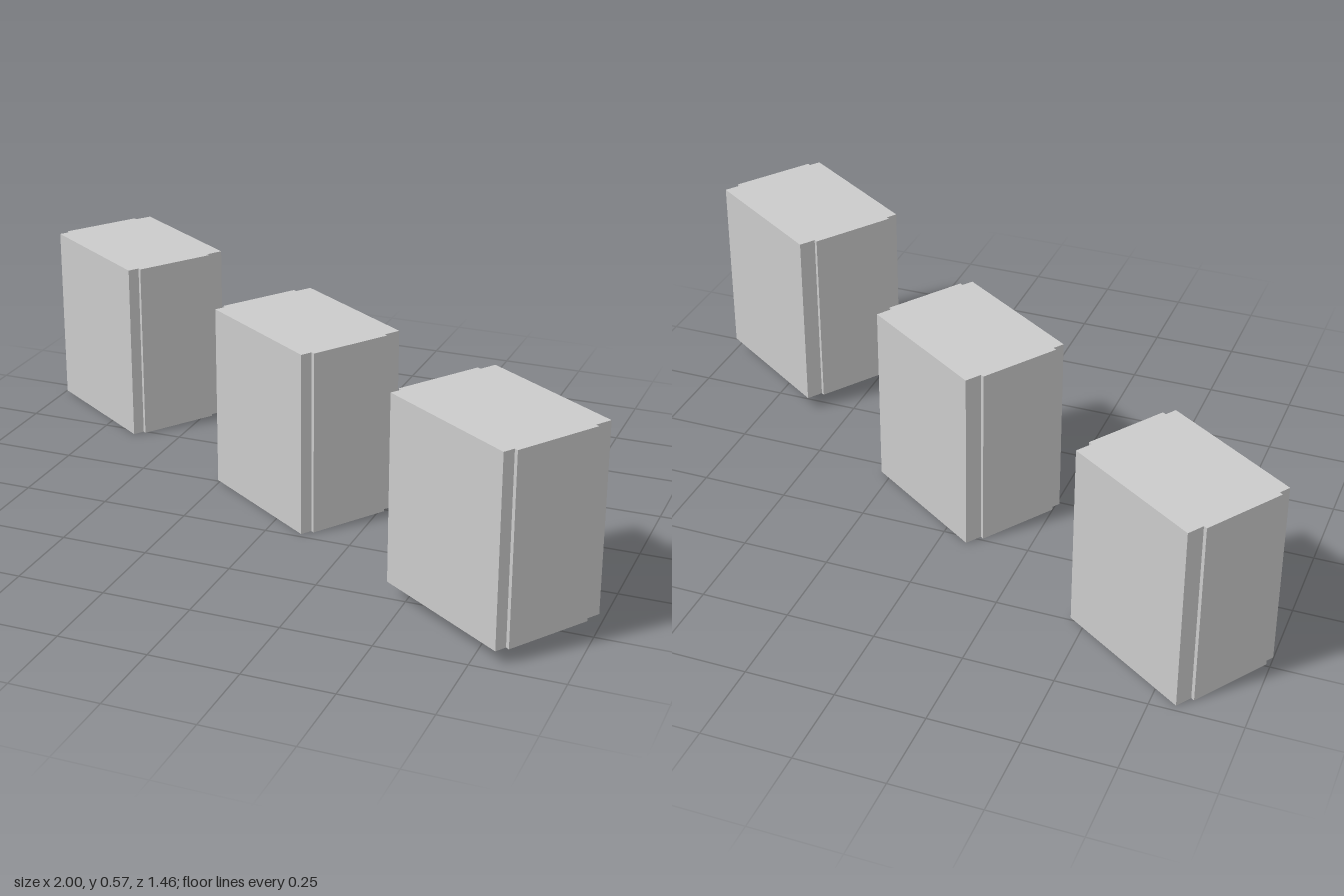
import * as THREE from 'three';

// Plan of one block: a rectangle with a shallow raised panel on each short end
function blockGeometry(length, width, height) {
  const a = length / 2, b = width / 2, d = 0.011;
  const front = -b + 0.034, back = b - 0.05; // plan y points to the back
  const half = [[a, -b], [a, front], [a + d, front], [a + d, back], [a, back], [a, b]];
  const mirrored = half.map(([x, y]) => [-x, y]).reverse();
  const shape = new THREE.Shape([...half, ...mirrored].map(([x, y]) => new THREE.Vector2(x, y)));
  const geometry = new THREE.ExtrudeGeometry(shape, { depth: height, bevelEnabled: false });
  geometry.rotateX(-Math.PI / 2);
  return geometry;
}

export function createModel() {
  const group = new THREE.Group();
  const material = new THREE.MeshStandardMaterial({ color: 0xcccccc, flatShading: true });

  // Three blocks in a diagonal row, the last one slightly larger and raised
  const blocks = [
    { name: 'rightBlock', at: [-0.728, 0, -0.475], size: [0.433, 0.327, 0.533] },
    { name: 'middleBlock', at: [0.012, 0, -0.022], size: [0.433, 0.327, 0.533] },
    { name: 'leftBlock', at: [0.72, 0.038, 0.463], size: [0.443, 0.338, 0.532] },
  ];
  for (const { name, at, size } of blocks) {
    const block = new THREE.Mesh(blockGeometry(...size), material);
    block.name = name;
    block.position.set(...at);
    block.rotation.y = -0.589;
    group.add(block);
  }
  return group;
}
